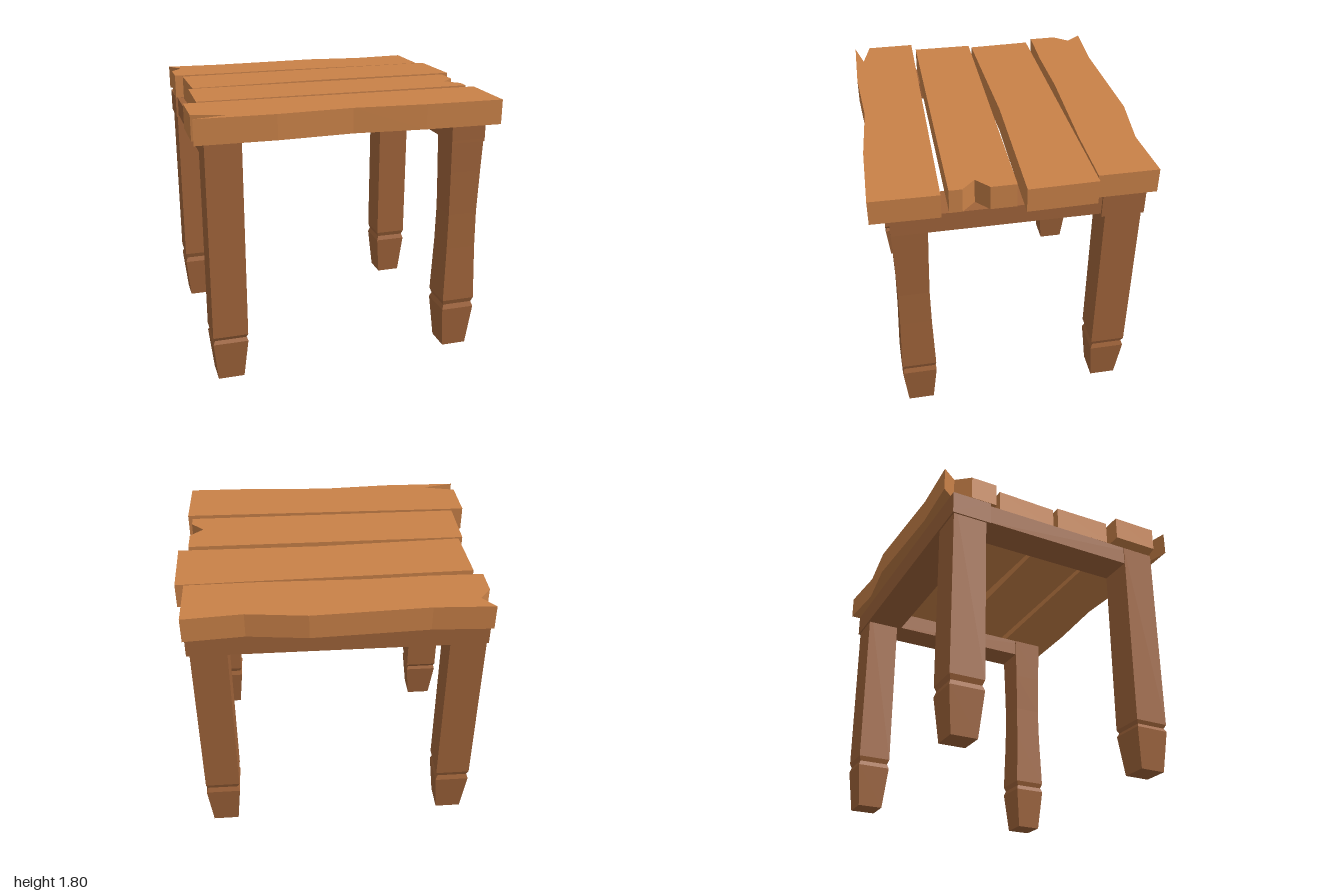
import * as THREE from 'three';

const plankMat = new THREE.MeshStandardMaterial({ color: 0xc98148, flatShading: true });
const frameMat = new THREE.MeshStandardMaterial({ color: 0xa0643a, flatShading: true });

// Plank: a top outline of [x, z] corners, given thickness upwards
function plank(name, outline) {
  const shape = new THREE.Shape(outline.map(([x, z]) => new THREE.Vector2(x, -z)));
  const geo = new THREE.ExtrudeGeometry(shape, { depth: 0.16, bevelEnabled: false });
  geo.rotateX(-Math.PI / 2);
  const mesh = new THREE.Mesh(geo, plankMat);
  mesh.name = name;
  mesh.position.y = 1.64;
  return mesh;
}

// Square leg: tapered foot, V groove, then a shaft with optional waist
function leg(name, x, z, groove, halfGap, shaft = []) {
  const profile = [
    [0, 0], [0.086, 0], [0.115, groove - halfGap], [0.103, groove], [0.115, groove + halfGap],
    ...shaft, [0.115, 1.625], [0, 1.625],
  ].map(([half, y]) => new THREE.Vector2(half * Math.SQRT2, y));
  const mesh = new THREE.Mesh(new THREE.LatheGeometry(profile, 4, Math.PI / 4), frameMat);
  mesh.name = name;
  mesh.position.set(x, 0, z);
  return mesh;
}

// Rail: a box between two corners
function rail(name, [x0, y0, z0], [x1, y1, z1]) {
  const mesh = new THREE.Mesh(new THREE.BoxGeometry(x1 - x0, y1 - y0, z1 - z0), frameMat);
  mesh.name = name;
  mesh.position.set((x0 + x1) / 2, (y0 + y1) / 2, (z0 + z1) / 2);
  return mesh;
}

export function createModel() {
  const model = new THREE.Group();
  model.name = 'table';

  // Four uneven planks, three of them with a split end
  model.add(
    plank('backPlank', [
      [-0.94, -0.865], [-0.56, -0.847], [0.18, -0.88], [0.56, -0.835], [0.935, -0.865],
      [0.935, -0.487], [0.5, -0.482], [-0.2, -0.497], [-0.6, -0.485], [-0.94, -0.49],
      [-0.94, -0.67], [-0.865, -0.765],
    ]),
    plank('middleBackPlank', [
      [-0.89, -0.44], [0.99, -0.48], [0.998, -0.045], [0.07, -0.055], [-0.88, -0.018],
    ]),
    plank('middleFrontPlank', [
      [-0.91, 0], [0.935, 0], [0.935, 0.16], [0.847, 0.24], [0.93, 0.325],
      [0.93, 0.405], [-0.915, 0.4],
    ]),
    plank('frontPlank', [
      [-1, 0.425], [0.965, 0.455], [0.96, 0.875], [0.45, 0.865], [-0.02, 0.83],
      [-0.5, 0.855], [-1, 0.845], [-0.785, 0.795], [-1, 0.74],
    ]),
  );

  // Legs, the front left one worn to a waist
  const waist = [[0.103, 0.75], [0.1, 1.0], [0.106, 1.3]];
  model.add(
    leg('frontRightLeg', -0.815, 0.645, 0.295, 0.024),
    leg('frontLeftLeg', 0.795, 0.645, 0.33, 0.034, waist),
    leg('backRightLeg', -0.815, -0.675, 0.33, 0.034),
    leg('backLeftLeg', 0.795, -0.675, 0.33, 0.034),
  );

  // Rails under the planks, open at the front
  model.add(
    rail('backRail', [-0.94, 1.485, -0.8], [0.93, 1.638, -0.53]),
    rail('rightRail', [-0.925, 1.5, -0.54], [-0.7, 1.63, 0.757]),
    rail('leftRail', [0.69, 1.5, -0.54], [0.915, 1.63, 0.757]),
  );
  return model;
}
